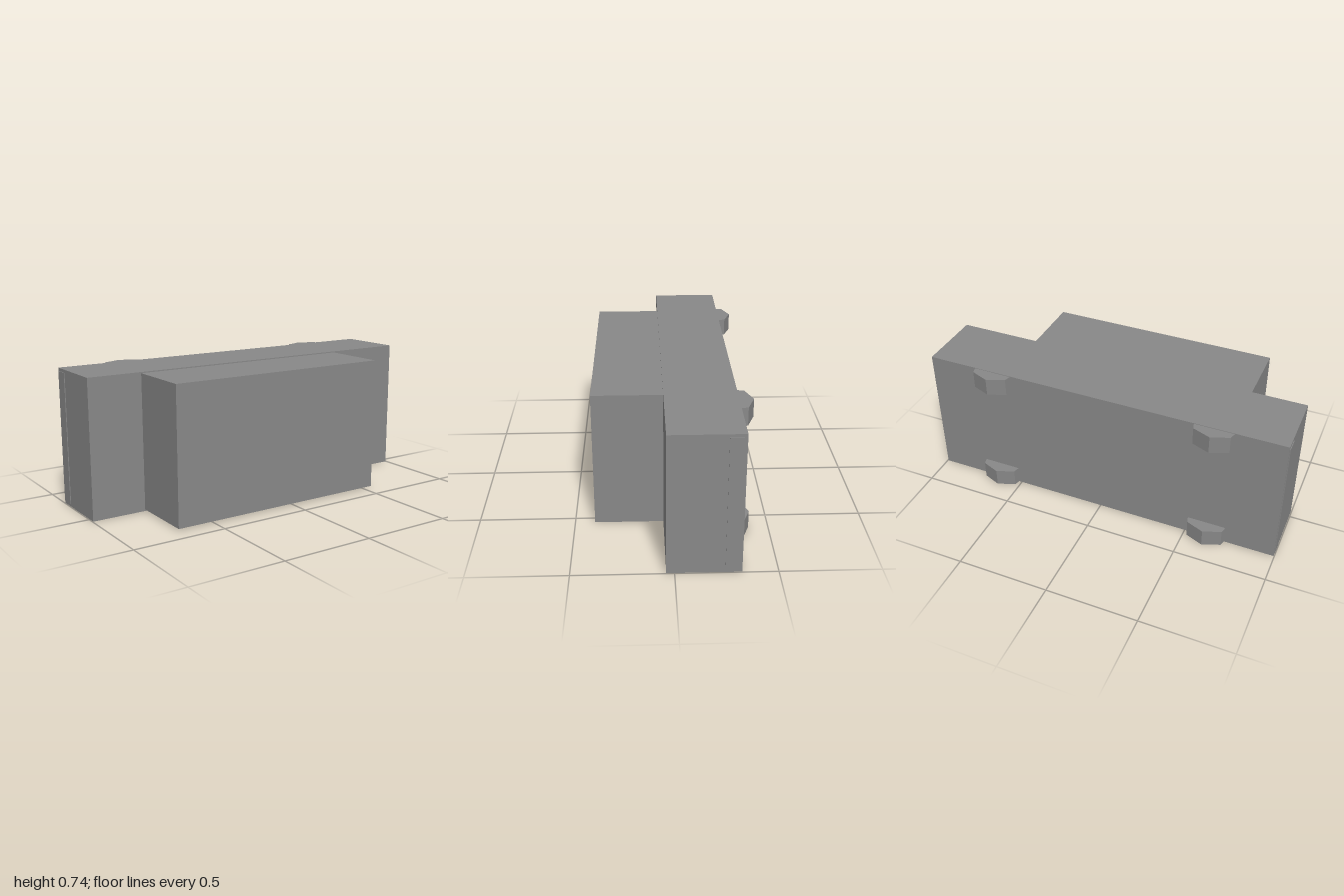
import * as THREE from 'three';

const material = new THREE.MeshStandardMaterial({ color: 0x888888, flatShading: true });

function addBox(parent, name, [x0, x1], [y0, y1], [z0, z1]) {
  const mesh = new THREE.Mesh(new THREE.BoxGeometry(x1 - x0, y1 - y0, z1 - z0), material);
  mesh.position.set((x0 + x1) / 2, (y0 + y1) / 2, (z0 + z1) / 2);
  mesh.name = name;
  parent.add(mesh);
}

// Faceted lug, outlined in plan and extruded upwards; its point faces -z
function lugGeometry(height) {
  const outline = [[0.105, 0], [0.096, 0.035], [0, 0.072], [-0.096, 0.035], [-0.105, 0]];
  const shape = new THREE.Shape(outline.map(([x, y]) => new THREE.Vector2(x, y)));
  return new THREE.ExtrudeGeometry(shape, { depth: height, bevelEnabled: false }).rotateX(-Math.PI / 2);
}

export function createModel() {
  const model = new THREE.Group();
  model.name = 'mountedBlock';

  // Wide rear body and the off-centre front block
  addBox(model, 'mainBody', [-0.996, 0.996], [0, 0.738], [-0.324, 0.04]);
  addBox(model, 'frontBlock', [-0.702, 0.553], [0.008, 0.732], [0.035, 0.396]);

  // Thin strips on both ends, near the back
  addBox(model, 'rightEndStrip', [-1, -0.99], [0.015, 0.722], [-0.316, -0.243]);
  addBox(model, 'leftEndStrip', [0.99, 1], [0.015, 0.722], [-0.316, -0.243]);

  // Four lugs on the back
  const geometry = lugGeometry(0.096);
  for (const x of [-0.619, 0.619]) {
    for (const y of [0.004, 0.639]) {
      const lug = new THREE.Mesh(geometry, material);
      lug.position.set(x, y, -0.324);
      lug.name = `${y > 0.3 ? 'upper' : 'lower'}${x > 0 ? 'Left' : 'Right'}Lug`;
      model.add(lug);
    }
  }
  return model;
}
